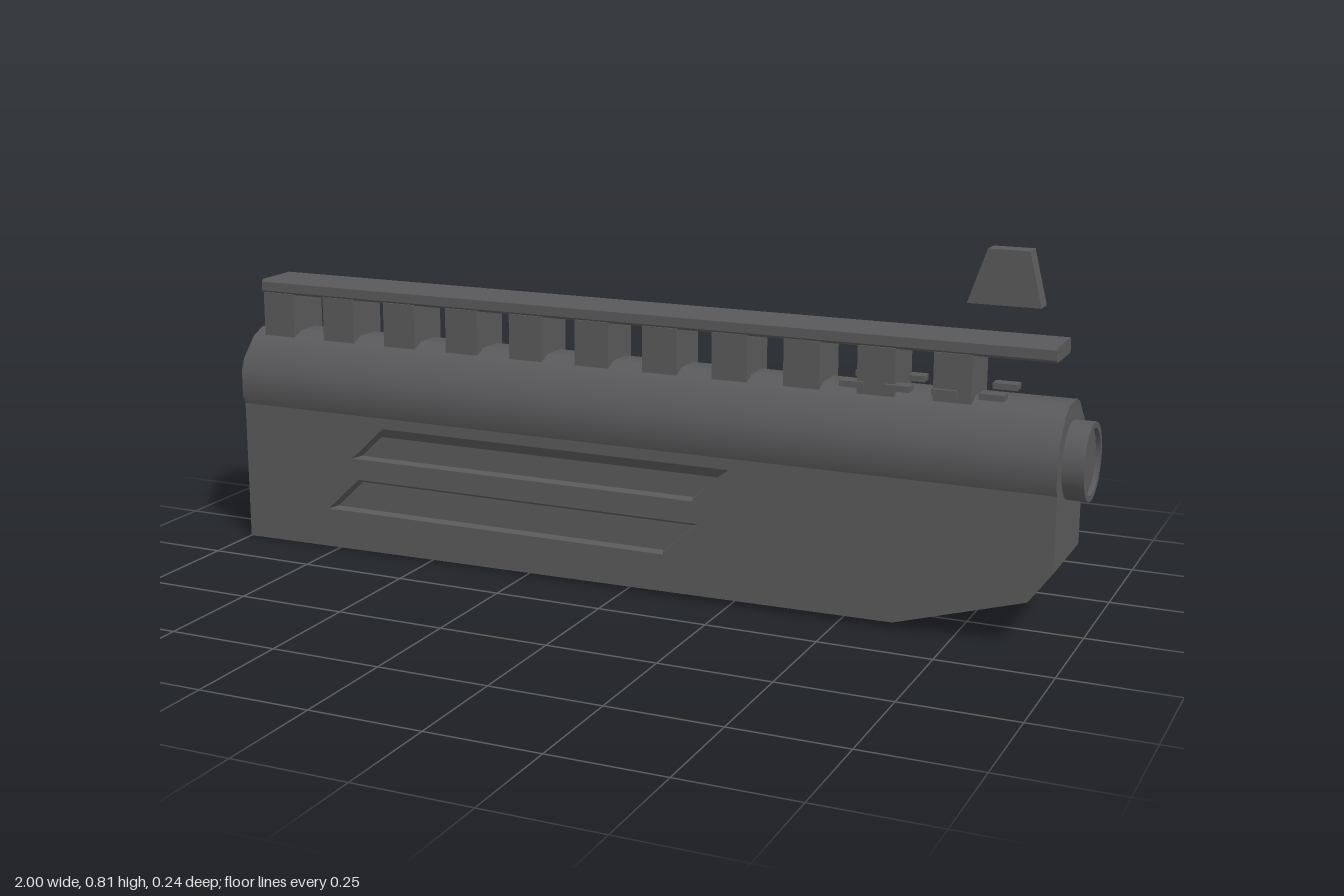
import * as THREE from 'three';

const metal = new THREE.MeshStandardMaterial({ color: 0x59595b });
metal.name = 'gunmetal grey';

const HALF = 0.113;   // half thickness of the lower housing
const FLOOR = 0.093;  // half thickness at the bottom of the side grooves
const AXIS_Y = 0.38;  // height of the barrel axis

function add(parent, geometry, name) {
  const mesh = new THREE.Mesh(geometry, metal);
  mesh.name = name;
  parent.add(mesh);
  return mesh;
}

const toShape = (pts) => new THREE.Shape(pts.map(([x, y]) => new THREE.Vector2(x, y)));

// Extrudes an outline in the xy plane between two z values
function slab(shape, z0, z1) {
  const g = new THREE.ExtrudeGeometry(shape, { depth: z1 - z0, bevelEnabled: false });
  return g.translate(0, 0, z0);
}

function box(x0, x1, y0, y1, z0, z1) {
  return new THREE.BoxGeometry(x1 - x0, y1 - y0, z1 - z0)
    .translate((x0 + x1) / 2, (y0 + y1) / 2, (z0 + z1) / 2);
}

// Sloped walls of a groove, from its rim to its floor
function grooveWalls(rim, floor, side) {
  const pos = [];
  for (let i = 0; i < 4; i++) {
    const j = (i + 1) % 4;
    const a = [...rim[i], side * HALF], b = [...rim[j], side * HALF];
    const c = [...floor[j], side * FLOOR], d = [...floor[i], side * FLOOR];
    pos.push(...(side > 0 ? [a, b, c, a, c, d] : [a, c, b, a, d, c]).flat());
  }
  const g = new THREE.BufferGeometry();
  g.setAttribute('position', new THREE.Float32BufferAttribute(pos, 3));
  g.computeVertexNormals();
  return g;
}

// Sixteen-sided barrel with broad diagonal facets and narrower ones between
function barrelGeometry(x0, x1) {
  const g = new THREE.CylinderGeometry(0.125, 0.125, x1 - x0, 16);
  const quarter = [14, 32, 62, 76];
  const pos = g.attributes.position, nor = g.attributes.normal;
  for (let i = 0; i < pos.count; i++) {
    const x = pos.getX(i), z = pos.getZ(i);
    if (Math.hypot(x, z) < 0.01) continue;
    const k = (Math.round(Math.atan2(x, z) / (Math.PI / 8)) + 16) % 16;
    const a = THREE.MathUtils.degToRad(Math.floor(k / 4) * 90 + quarter[k % 4]);
    pos.setXYZ(i, 0.125 * Math.sin(a), pos.getY(i), 0.125 * Math.cos(a));
    if (Math.abs(nor.getY(i)) < 0.5) nor.setXYZ(i, Math.sin(a), 0, Math.cos(a));
  }
  return g.rotateZ(-Math.PI / 2).translate((x0 + x1) / 2, AXIS_Y, 0);
}

export function createModel() {
  const model = new THREE.Group();
  model.name = 'handguard';

  // Lower housing: a solid core with a grooved plate on each side
  const outline = [[-1, 0], [0.62, 0.015], [0.905, 0.1], [0.955, 0.168], [0.955, AXIS_Y], [-1, AXIS_Y]];
  const grooves = [
    {
      rim: [[-0.705, 0.225], [0.16, 0.225], [0.245, 0.305], [-0.62, 0.305]],
      floor: [[-0.69, 0.229], [0.155, 0.229], [0.212, 0.28], [-0.635, 0.28]],
    },
    {
      rim: [[-0.775, 0.095], [0.09, 0.095], [0.175, 0.175], [-0.69, 0.175]],
      floor: [[-0.76, 0.099], [0.085, 0.099], [0.155, 0.165], [-0.69, 0.165]],
    },
  ];
  const housing = new THREE.Group();
  housing.name = 'housing';
  model.add(housing);
  add(housing, slab(toShape(outline), -FLOOR, FLOOR), 'housingCore');
  const plate = toShape(outline);
  grooves.forEach(({ rim }) => {
    plate.holes.push(new THREE.Path(rim.map(([x, y]) => new THREE.Vector2(x, y))));
  });
  for (const side of [1, -1]) {
    const z = [side * FLOOR, side * HALF].sort((a, b) => a - b);
    add(housing, slab(plate, z[0], z[1]), side > 0 ? 'frontSidePlate' : 'backSidePlate');
    grooves.forEach(({ rim, floor }) => add(housing, grooveWalls(rim, floor, side), 'grooveWalls'));
  }

  // Barrel shroud and its muzzle ring
  add(model, barrelGeometry(-1, 0.955), 'barrelShroud');
  const muzzle = [[0.083, 0], [0.083, 0.045], [0.083, 0.045], [0.07, 0.045], [0.07, 0.045],
    [0.07, 0.035], [0.07, 0.035], [0, 0.035]].map(([r, h]) => new THREE.Vector2(r, h));
  const muzzleGeometry = new THREE.LatheGeometry(muzzle, 28)
    .rotateZ(-Math.PI / 2).translate(0.955, AXIS_Y, 0);
  add(model, muzzleGeometry, 'muzzleRing');

  // Top rail with chamfered edges, carried by a row of blocks
  const rail = new THREE.Group();
  rail.name = 'rail';
  model.add(rail);
  const c = 0.006;
  const section = toShape([
    [-0.06 + c, 0.59], [0.06 - c, 0.59], [0.06, 0.59 + c], [0.06, 0.623 - c],
    [0.06 - c, 0.623], [-0.06 + c, 0.623], [-0.06, 0.623 - c], [-0.06, 0.59 + c],
  ]);
  const strip = slab(section, -0.9525, 0.9525).rotateY(Math.PI / 2).translate(-0.0225, 0, 0);
  add(rail, strip, 'railStrip');
  for (let i = 0; i < 11; i++) {
    const x = -0.93 + i * 0.1647;
    add(rail, box(x - 0.041, x + 0.041, 0.47, 0.592, -0.06, 0.06), 'railBlock');
  }

  // Small clips along both sides of the rail near the muzzle
  for (let i = 0; i < 4; i++) {
    const x = 0.475 + i * 0.1;
    for (const side of [1, -1]) {
      const zc = side * 0.054;
      add(rail, box(x, x + 0.053, 0.503, 0.516, zc - 0.016, zc + 0.016), 'railClip');
    }
  }

  // Front sight blade, set above the rail
  const sight = toShape([[0.73, 0.692], [0.885, 0.692], [0.857, 0.807], [0.77, 0.807]]);
  add(model, slab(sight, -0.022, 0.022), 'frontSight');

  return model;
}
